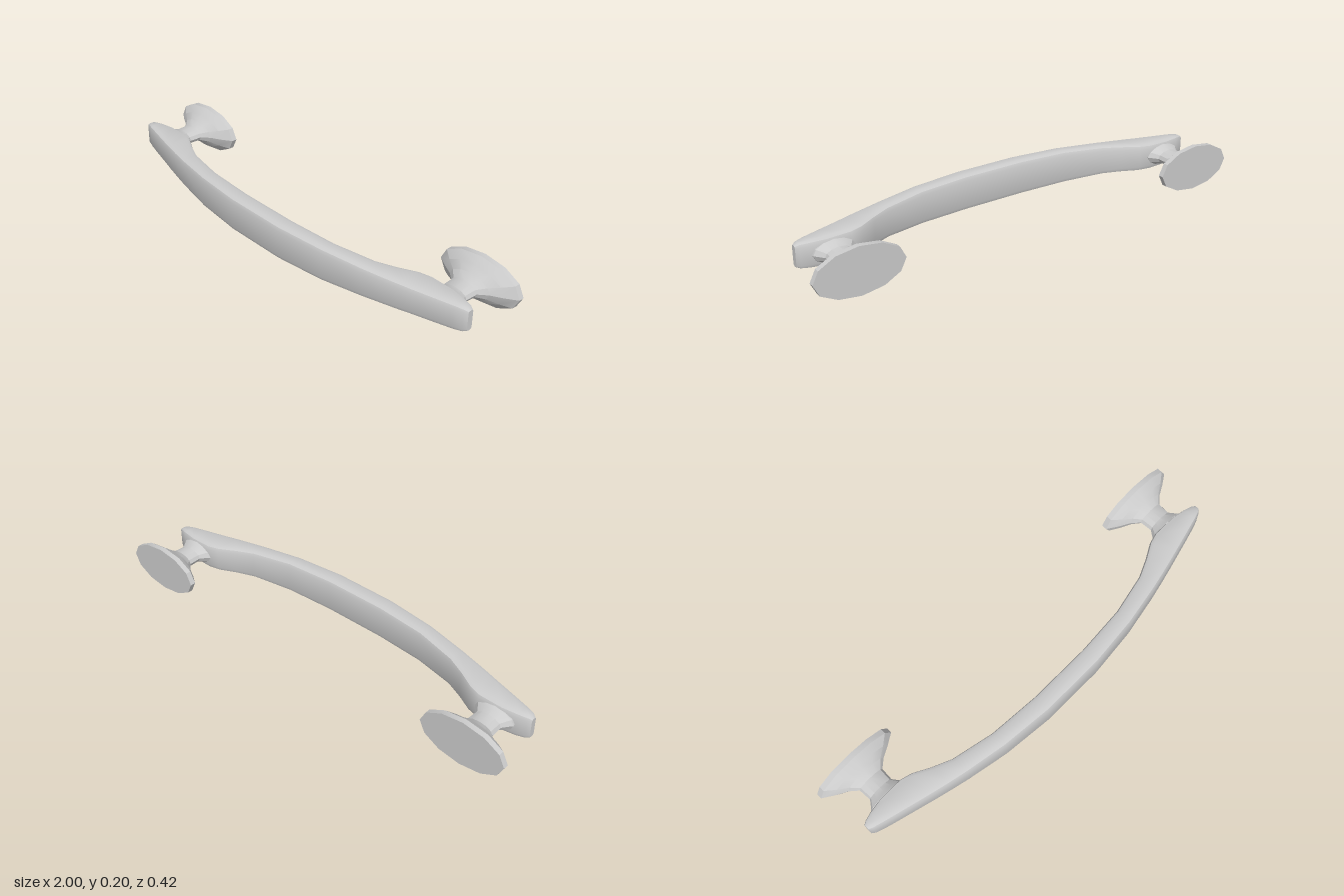
import * as THREE from 'three';
import { toCreasedNormals } from 'three/addons/utils/BufferGeometryUtils.js';

const CENTER_Y = 0.1;
const material = new THREE.MeshStandardMaterial({ color: 0xcccccc });

// Half of the bar, from the middle outwards: [x, back z, front z, half height, edge radius]
const stations = [
  [0.14, 0.13, 0.211, 0.076, 0.02],
  [0.36, 0.114, 0.19, 0.073, 0.02],
  [0.54, 0.074, 0.157, 0.066, 0.02],
  [0.62, 0.038, 0.139, 0.063, 0.02],
  [0.69, 0.0, 0.122, 0.061, 0.02],
  [0.74, -0.014, 0.109, 0.059, 0.02],
  [0.84, -0.014, 0.083, 0.057, 0.02],
  [0.905, -0.003, 0.065, 0.055, 0.018],
  [0.94, 0.008, 0.053, 0.051, 0.014],
  [0.955, 0.017, 0.042, 0.043, 0.008],
];

// Rounded rectangle in the z-y plane, three points per corner
function section([x, back, front, h, r]) {
  const ring = [];
  for (let c = 0; c < 4; c++) {
    const right = c === 0 || c === 3, up = c < 2;
    for (let k = 0; k < 3; k++) {
      const a = (c + k / 2) * Math.PI / 2;
      const z = (right ? front - r : back + r) + r * Math.cos(a);
      const y = (up ? h - r : r - h) + r * Math.sin(a);
      ring.push([x, CENTER_Y + y, z]);
    }
  }
  return ring;
}

// Curved bar lofted through mirrored sections, capped at both ends
function barGeometry() {
  const mirrored = stations.map(([x, ...rest]) => [-x, ...rest]).reverse();
  const rings = [...mirrored, ...stations].map(section);
  const n = rings[0].length, last = (rings.length - 1) * n;
  const index = [];
  for (let i = 0; i < rings.length - 1; i++) {
    for (let j = 0; j < n; j++) {
      const a = i * n + j, b = i * n + (j + 1) % n;
      index.push(a, a + n, b, b, a + n, b + n);
    }
  }
  for (let j = 1; j < n - 1; j++) {
    index.push(0, j, j + 1, last, last + j + 1, last + j);
  }
  const geo = new THREE.BufferGeometry();
  geo.setAttribute('position', new THREE.Float32BufferAttribute(rings.flat(2), 3));
  geo.setIndex(index);
  return toCreasedNormals(geo, 0.6);
}

// Oval twelve-sided foot with a narrow neck that flares into the bar
function footGeometry() {
  const profile = [
    [0, -0.213], [0.186, -0.213], [0.186, -0.19], [0.14, -0.16], [0.094, -0.135],
    [0.06, -0.105], [0.057, -0.05], [0.075, -0.025], [0.086, -0.013], [0.086, 0.01],
  ].map(([r, z]) => new THREE.Vector2(r, z));
  const geo = new THREE.LatheGeometry(profile, 12);
  geo.rotateX(Math.PI / 2);
  geo.scale(1, 0.53, 1);
  return toCreasedNormals(geo, 0.4);
}

export function createModel() {
  const group = new THREE.Group();
  group.name = 'drawerHandle';

  const bar = new THREE.Mesh(barGeometry(), material);
  bar.name = 'bar';
  group.add(bar);

  const foot = footGeometry();
  for (const [side, name] of [[1, 'leftFoot'], [-1, 'rightFoot']]) {
    const mesh = new THREE.Mesh(foot, material);
    mesh.name = name;
    mesh.position.set(side * 0.814, CENTER_Y, 0);
    group.add(mesh);
  }
  return group;
}
